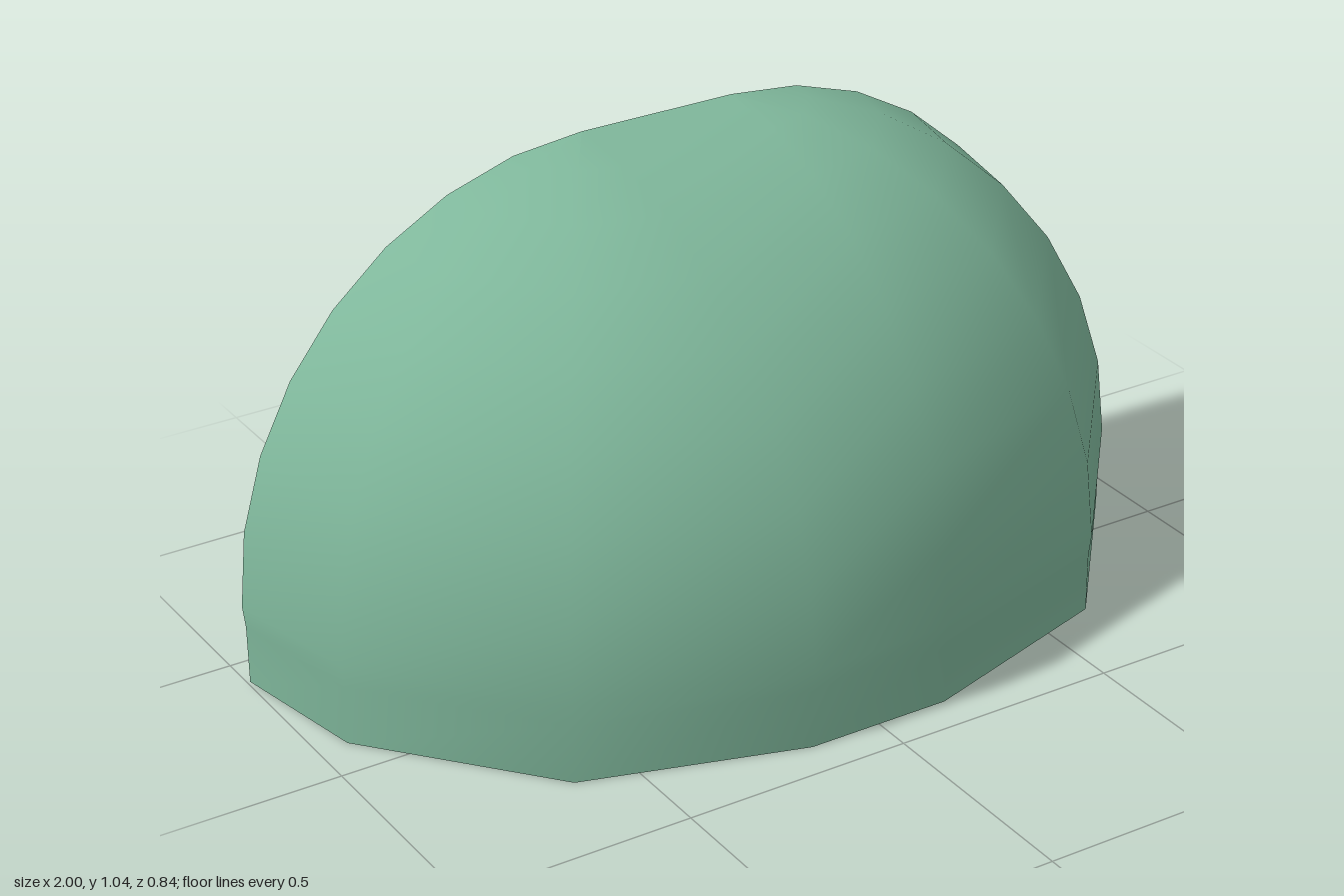
import * as THREE from 'three';

const BACK = -0.42;      // open back plane
const RIM_Y = 0.18;      // where the dome meets the lower band
const TOP_Y = 1.037;
const RIDGE_X = 0.18;    // half length of the top ridge
const STEPS = 8;

// Grid of points (rows of equal length) to a smooth open surface
function gridSurface(rows) {
  const n = rows[0].length;
  const index = [];
  for (let r = 0; r < rows.length - 1; r++) {
    for (let c = 0; c < n - 1; c++) {
      const a = r * n + c, b = a + 1, up = a + n, upB = b + n;
      index.push(a, up, b);
      if (rows[r + 1][c].distanceTo(rows[r + 1][c + 1]) > 1e-5) index.push(up, upB, b);
    }
  }
  const geometry = new THREE.BufferGeometry().setFromPoints(rows.flat());
  geometry.setIndex(index);
  geometry.computeVertexNormals();
  return geometry;
}

export function createModel() {
  const group = new THREE.Group();
  group.name = 'halfDomeCanopy';

  // Faceted half outline, mirrored across x
  const half = [[1, BACK], [0.94, -0.1], [0.63, 0.275], [0.16, 0.42]];
  const outline = [...half, ...half.slice().reverse().map(([x, z]) => [-x, z])];

  // Each rib shrinks from the outline to its end of the top ridge
  const row = (scale, y) => outline.map(([x, z]) => {
    const ridge = Math.sign(x) * RIDGE_X;
    return new THREE.Vector3(ridge + (x - ridge) * scale, y, BACK + (z - BACK) * scale);
  });

  // Lower band, then quarter-ellipse ribs
  const rows = [row(0.992, 0), row(0.993, 0.13)];
  for (let i = 0; i <= STEPS; i++) {
    const a = (i / STEPS) * Math.PI / 2;
    const scale = i === STEPS ? 0 : Math.cos(a);
    rows.push(row(scale, RIM_Y + (TOP_Y - RIM_Y) * Math.sin(a)));
  }

  const material = new THREE.MeshStandardMaterial({ color: 0x7fb79b, side: THREE.DoubleSide });
  const shell = new THREE.Mesh(gridSurface(rows), material);
  shell.name = 'ribbedShell';
  group.add(shell);
  return group;
}
